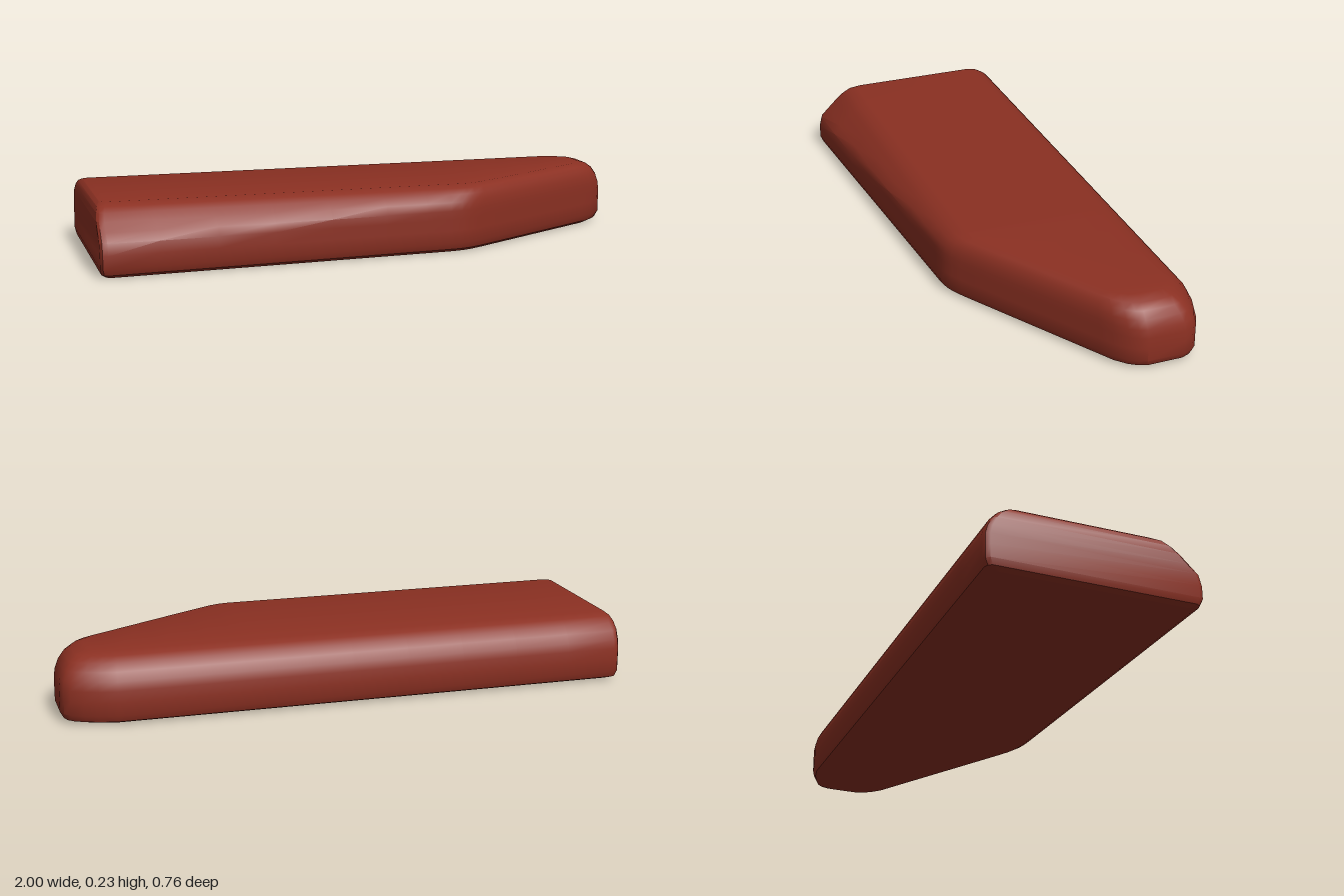
import * as THREE from 'three';
import { toCreasedNormals } from 'three/addons/utils/BufferGeometryUtils.js';

// Horizontal layers: y, back z, front slope limit z, wall inset, right end inset, left end inset
const LAYERS = [
  [0, -0.34, 1, 0.03, 0.04, 0.02],
  [0.012, -0.37, 1, 0.01, 0.012, 0.005],
  [0.035, -0.38, 1, 0, 0, 0],
  [0.08, -0.38, 0.388, 0, 0, 0],
  [0.12, -0.38, 0.369, 0, 0, 0],
  [0.15, -0.372, 0.338, 0, 0.005, 0],
  [0.18, -0.356, 0.307, 0.003, 0.017, 0],
  [0.205, -0.334, 0.28, 0.012, 0.035, 0.004],
  [0.222, -0.306, 0.256, 0.025, 0.06, 0.01],
  [0.232, -0.275, 0.22, 0.05, 0.095, 0.022],
];

// Stations along x: x, left end weight, right end weight, back corner cut, front corner cut
const STATIONS = [
  [-1, 1, 0, 0.02, 0.02], [-0.992, 1, 0, 0.006, 0.006], [-0.975, 0.9, 0, 0, 0],
  ...[-0.8, -0.6, -0.4, -0.2, 0, 0.15, 0.24, 0.28, 0.31, 0.34, 0.38, 0.5, 0.65].map((x) => [x, 0, 0, 0, 0]),
  [0.82, 0, 0.2, 0, 0], [0.88, 0, 0.5, 0.012, 0], [0.93, 0, 0.75, 0.03, 0],
  [0.97, 0, 0.95, 0.05, 0.012], [0.99, 0, 1, 0.07, 0.03], [1, 0, 1, 0.1, 0.05],
];

// Minimum with a small rounded transition
function softMin(a, b, k) {
  const h = Math.max(k - Math.abs(a - b), 0) / k;
  return Math.min(a, b) - h * h * k * 0.25;
}

// Front edge: long tapering wall, sloped upper face and the diagonal toward the tip
function frontEdge(x, slope, inset) {
  const wall = 0.3 - 0.0615 * (x - 0.3) - inset;
  const diagonal = 0.29 - 0.58 * (x - 0.33) - inset * 1.156;
  return softMin(softMin(wall, slope, 0.012), diagonal, 0.03);
}

function bodyGeometry() {
  const positions = [];
  const index = [];
  const n = STATIONS.length;
  const ring = n * 2;

  // Each ring runs along the front to the tip and returns along the back
  for (const [y, back, slope, inset, endInset, leftInset] of LAYERS) {
    const front = [];
    const rear = [];
    for (const [x0, left, right, backCut, frontCut] of STATIONS) {
      const x = x0 + left * leftInset - right * endInset;
      const f = frontEdge(x, slope, inset) - frontCut;
      front.push([x, y, f]);
      rear.push([x, y, Math.min(back + backCut * (1 - endInset * 5), f - 0.03)]);
    }
    positions.push(...front.flat(), ...rear.reverse().flat());
  }

  // Side walls
  for (let j = 0; j < LAYERS.length - 1; j++) {
    for (let i = 0; i < ring; i++) {
      const a = j * ring + i;
      const b = j * ring + ((i + 1) % ring);
      index.push(a, b, b + ring, a, b + ring, a + ring);
    }
  }

  // Flat top and bottom, laid as strips between front and back
  const top = (LAYERS.length - 1) * ring;
  for (let i = 0; i < n - 1; i++) {
    const c = ring - 2 - i;
    const d = ring - 1 - i;
    index.push(top + i, top + i + 1, top + c, top + i, top + c, top + d);
    index.push(i, c, i + 1, i, d, c);
  }

  const geometry = new THREE.BufferGeometry();
  geometry.setAttribute('position', new THREE.Float32BufferAttribute(positions, 3));
  geometry.setIndex(index);
  return toCreasedNormals(geometry, 0.6);
}

export function createModel() {
  const group = new THREE.Group();
  group.name = 'taperedBlock';
  const body = new THREE.Mesh(bodyGeometry(), new THREE.MeshStandardMaterial({ color: 0x8b3022 }));
  body.name = 'body';
  group.add(body);
  return group;
}
